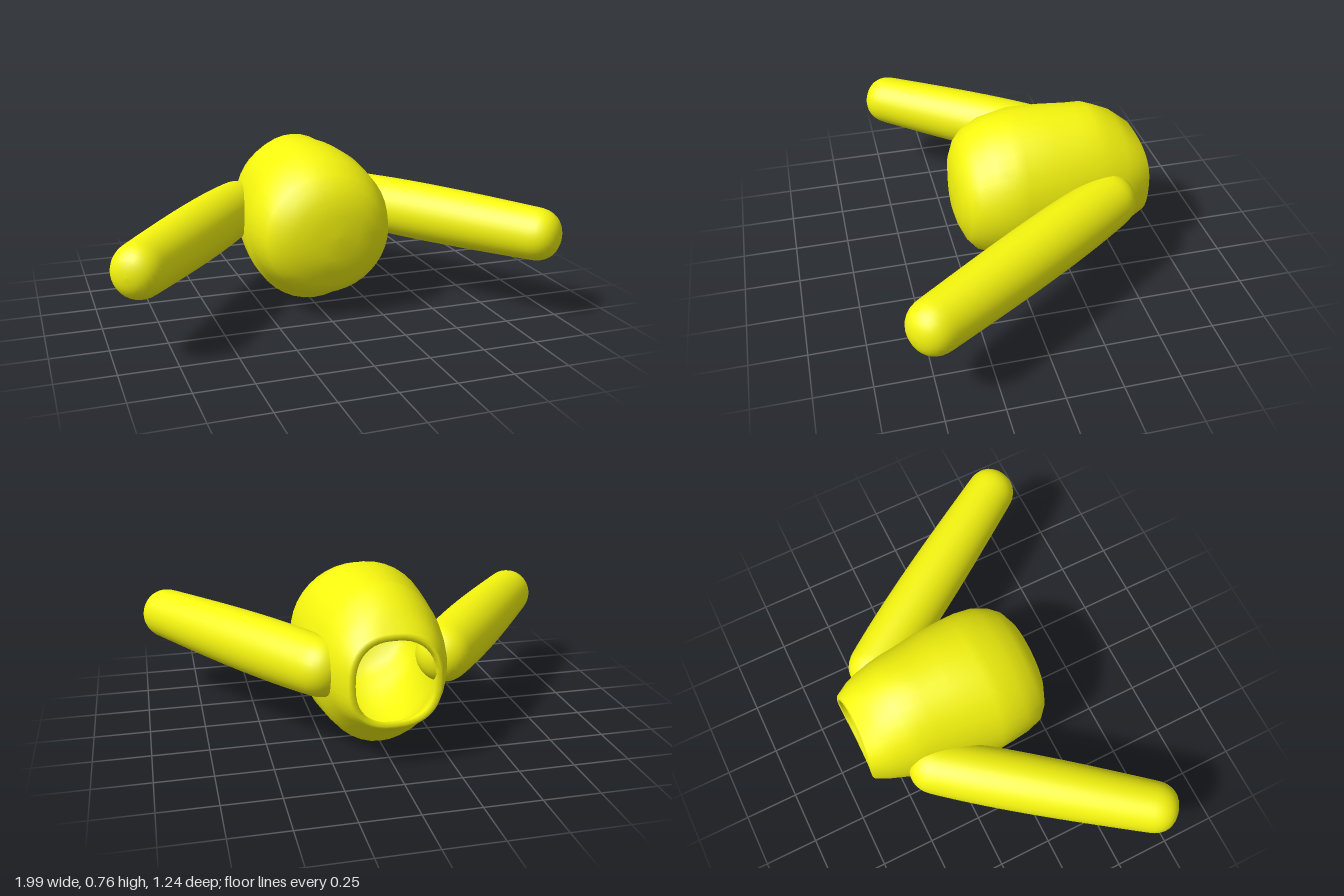
import * as THREE from 'three';

const material = new THREE.MeshStandardMaterial({ color: 0xf5f50f, side: THREE.DoubleSide });
const UP = new THREE.Vector3(0, 1, 0);
const SEG = 40;

// Skin a list of rings; each ring maps an angle to a point.
function loft(name, rings) {
  const pos = [], index = [];
  for (const ring of rings) {
    for (let j = 0; j < SEG; j++) pos.push(...ring((j / SEG) * Math.PI * 2).toArray());
  }
  for (let i = 0; i < rings.length - 1; i++) {
    for (let j = 0; j < SEG; j++) {
      const k = (j + 1) % SEG;
      const a = i * SEG + j, b = i * SEG + k, c = a + SEG, d = b + SEG;
      index.push(a, c, b, b, c, d);
    }
  }
  const geo = new THREE.BufferGeometry();
  geo.setAttribute('position', new THREE.Float32BufferAttribute(pos, 3));
  geo.setIndex(index);
  geo.computeVertexNormals();
  const mesh = new THREE.Mesh(geo, material);
  mesh.name = name;
  return mesh;
}

const power = (v, e) => Math.sign(v) * Math.abs(v) ** e;

// Body outline from front to back: z, left/right x, bottom/top y
const BODY = [
  [0.268, 0.02, 0.02, 0.4, 0.4],
  [0.265, -0.08, 0.12, 0.3, 0.5],
  [0.25, -0.17, 0.2, 0.24, 0.57],
  [0.22, -0.24, 0.26, 0.17, 0.63],
  [0.18, -0.285, 0.295, 0.12, 0.67],
  [0.1, -0.31, 0.325, 0.085, 0.72],
  [0.02, -0.32, 0.333, 0.065, 0.74],
  [-0.03, -0.32, 0.333, 0.02, 0.757],
  [-0.18, -0.305, 0.325, 0.003, 0.76],
  [-0.3, -0.29, 0.305, 0.01, 0.752],
  [-0.37, -0.28, 0.295, 0.022, 0.752],
  [-0.43, -0.27, 0.285, 0.06, 0.728],
  [-0.5, -0.25, 0.265, 0.12, 0.695],
  [-0.55, -0.225, 0.24, 0.16, 0.65],
  [-0.6, -0.195, 0.205, 0.195, 0.605],
];

// One body ring; the last stretch bows backwards on both sides of the opening.
function bodyRing([z, x0, x1, y0, y1], inset = 0) {
  const back = THREE.MathUtils.smoothstep(-z, 0.48, 0.6);
  const e = 1 - 0.2 * back;
  const cx = (x0 + x1) / 2, cy = (y0 + y1) / 2;
  const rx = Math.max((x1 - x0) / 2 - inset, 0), ry = Math.max((y1 - y0) / 2 - inset, 0);
  return (t) => new THREE.Vector3(
    cx + rx * power(Math.cos(t), e),
    cy + ry * power(Math.sin(t), e),
    z - 0.022 * back * Math.cos(t) ** 2 - (Math.sin(t) < 0 ? 0.015 * back * Math.sin(t) ** 2 : 0));
}

// Hollow shell: outer skin, rounded rim, then the inner wall back to the front.
function makeBody() {
  const rim = BODY[BODY.length - 1];
  const outer = BODY.map((row) => bodyRing(row));
  const lip = [bodyRing([-0.607, ...rim.slice(1)], 0.012), bodyRing([-0.6, ...rim.slice(1)], 0.03)];
  const inner = BODY.slice(0, -1).reverse()
    .map((row) => bodyRing([row[0] > 0.1 ? row[0] - 0.04 : row[0], ...row.slice(1)], 0.04));
  return loft('hollowBody', [...outer, ...lip, ...inner]);
}

// Thick rounded limb from its root to its tip.
function makeArm(name, root, tip) {
  const dir = tip.clone().sub(root);
  const length = dir.length();
  dir.normalize();
  const side = dir.clone().cross(UP);
  const N = 40, rings = [];
  for (let i = 0; i <= N; i++) {
    const u = (1 - Math.cos((i / N) * Math.PI)) / 2;
    const d = u * length;
    const cap = Math.min(1, d / 0.12, (length - d) / 0.11);
    const round = (1 - (1 - cap) ** 2.3) ** (1 / 2.3);
    const r = (0.118 + 0.02 * Math.sin(Math.PI * Math.min(1, u * 1.05) ** 0.75)) * round;
    const c = root.clone().addScaledVector(dir, d);
    rings.push((t) => c.clone()
      .addScaledVector(side, r * 0.97 * Math.cos(t))
      .addScaledVector(UP, r * Math.sin(t)));
  }
  return loft(name, rings);
}

export function createModel() {
  const group = new THREE.Group();
  group.name = 'hollowBodyWithArms';
  group.add(
    makeBody(),
    makeArm('leftArm', new THREE.Vector3(0.21, 0.41, -0.5), new THREE.Vector3(0.935, 0.405, 0.59)),
    makeArm('rightArm', new THREE.Vector3(-0.21, 0.41, -0.45), new THREE.Vector3(-0.945, 0.41, 0.515)),
  );
  return group;
}
